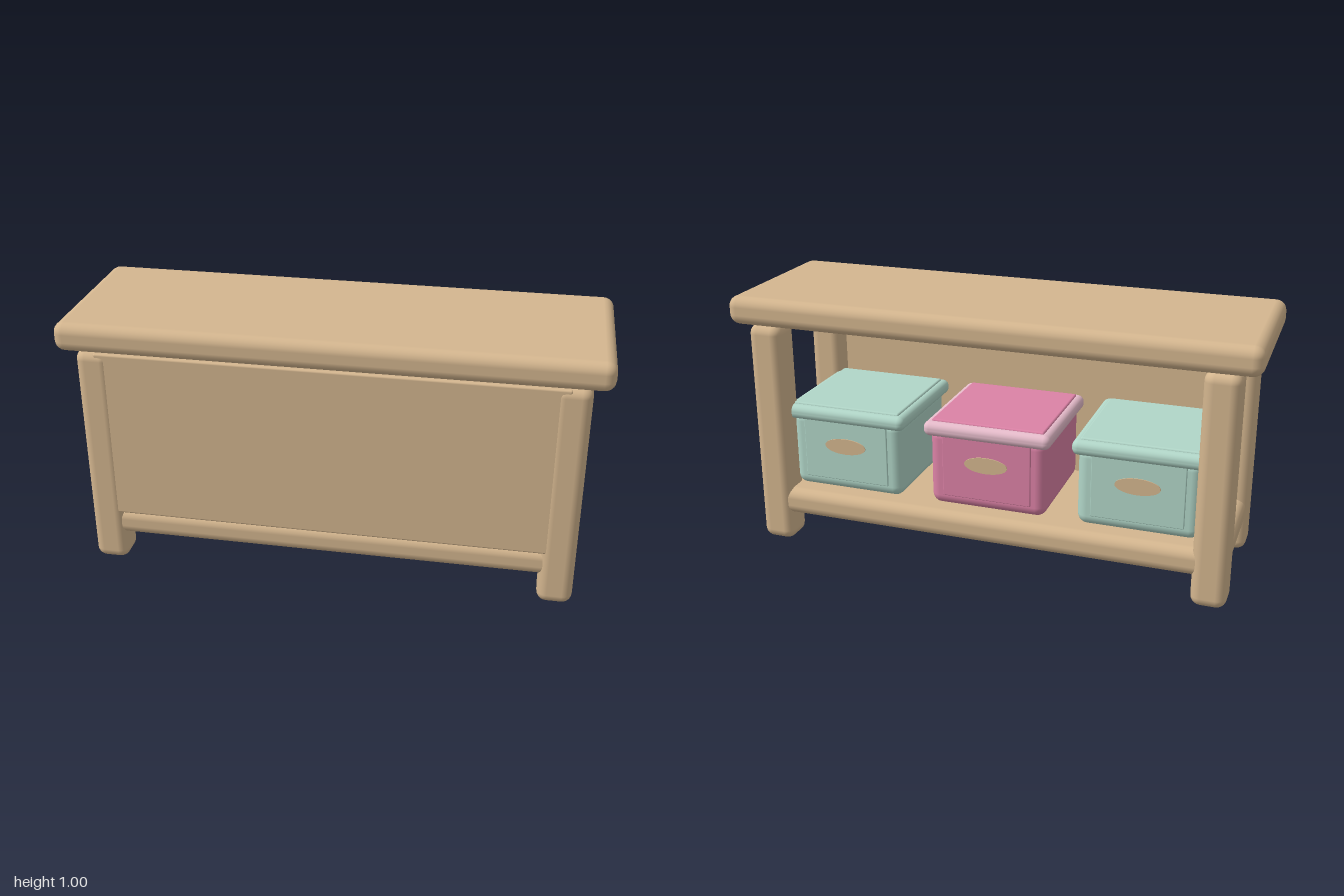
import * as THREE from 'three';
import { RoundedBoxGeometry } from 'three/addons/geometries/RoundedBoxGeometry.js';

export function createModel() {
  const paint = (name, color) => {
    const m = new THREE.MeshStandardMaterial({ color });
    m.name = name;
    return m;
  };
  const wood = paint('wood', 0xd4b68f);
  const mint = paint('mint', 0xb1d6c8);
  const pink = paint('pink', 0xdc82a6);
  const palePink = paint('palePink', 0xe6bccb);

  // Rounded block given by its minimum and maximum corners
  const block = (parent, name, material, min, max, radius, segments = 3) => {
    const size = max.map((v, i) => v - min[i]);
    const mesh = new THREE.Mesh(new RoundedBoxGeometry(...size, segments, radius), material);
    mesh.position.set(...max.map((v, i) => (v + min[i]) / 2));
    mesh.name = name;
    parent.add(mesh);
    return mesh;
  };

  const model = new THREE.Group();
  model.name = 'storageBench';

  // Bench frame
  block(model, 'tabletop', wood, [-1, 0.89, -0.333], [1, 1, 0.333], 0.04);
  block(model, 'shelf', wood, [-0.921, 0.114, -0.303], [0.921, 0.222, 0.303], 0.04);
  block(model, 'frontPanel', wood, [-0.86, 0.216, 0.25], [0.86, 0.885, 0.308], 0.008, 2);
  for (const x of [-0.865, 0.865]) {
    for (const z of [-0.245, 0.245]) {
      block(model, 'leg', wood, [x - 0.066, 0, z - 0.067], [x + 0.066, 0.892, z + 0.067], 0.038);
    }
  }

  // Lidded bins standing on the shelf, handles facing the back
  const addBin = (x, bodyColor, rimColor) => {
    const bin = new THREE.Group();
    bin.name = 'bin';
    bin.position.x = x;
    block(bin, 'binBody', bodyColor, [-0.23, 0.22, -0.23], [0.23, 0.53, 0.23], 0.04);
    block(bin, 'binBackPlate', bodyColor, [-0.175, 0.265, -0.236], [0.175, 0.52, -0.22], 0.004, 1);
    block(bin, 'lidRim', rimColor, [-0.25, 0.502, -0.25], [0.25, 0.56, 0.25], 0.026);
    block(bin, 'lidTop', bodyColor, [-0.222, 0.545, -0.222], [0.222, 0.567, 0.222], 0.008, 2);

    // Oval handle plate
    const oval = new THREE.Shape().absellipse(0, 0, 0.085, 0.032, 0, Math.PI * 2);
    const handle = new THREE.Mesh(
      new THREE.ExtrudeGeometry(oval, { depth: 0.006, bevelEnabled: false, curveSegments: 24 }), wood);
    handle.name = 'handle';
    handle.position.set(0, 0.41, -0.24);
    bin.add(handle);
    model.add(bin);
  };
  addBin(-0.58, mint, mint);
  addBin(0, pink, palePink);
  addBin(0.58, mint, mint);

  return model;
}
